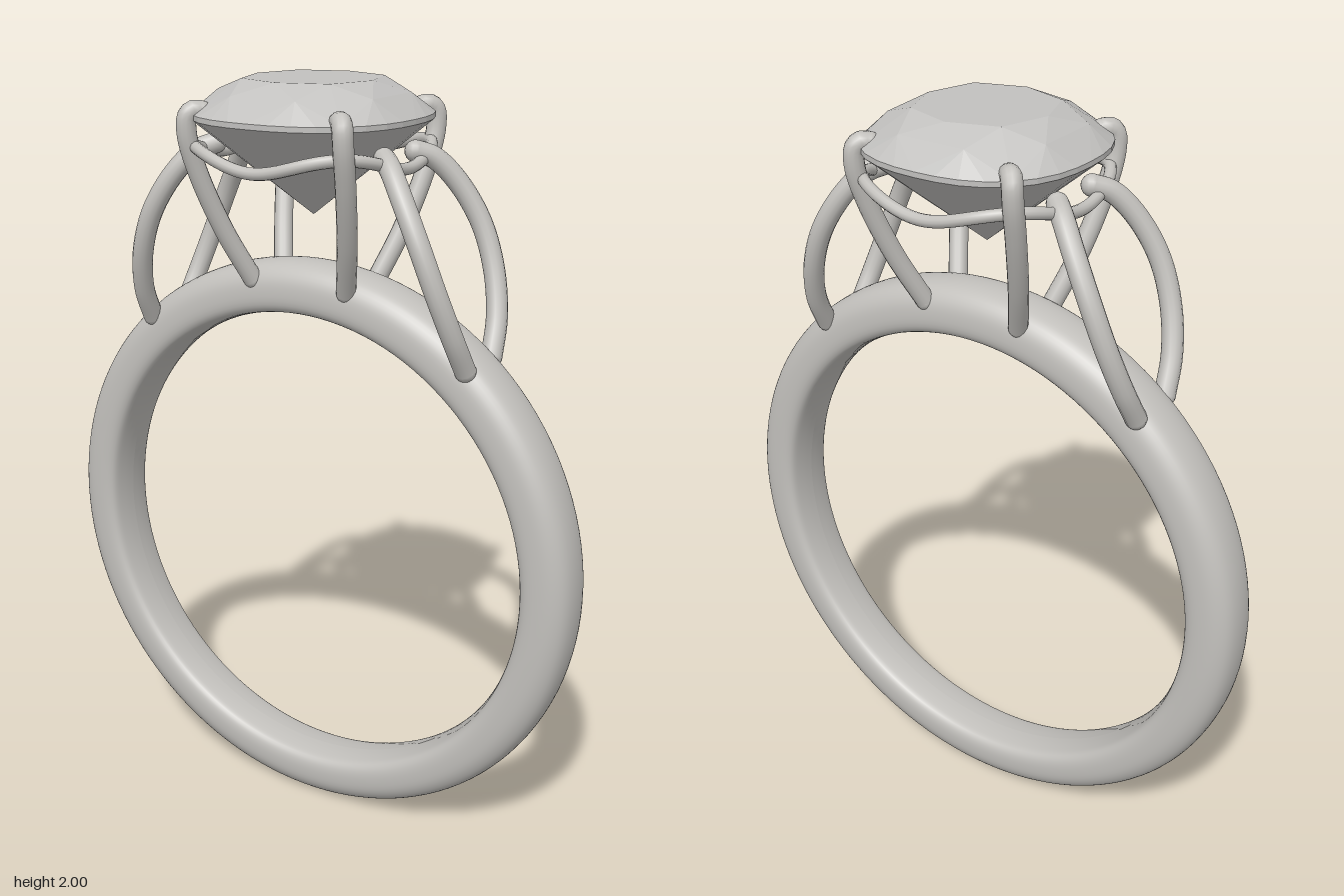
import * as THREE from 'three';
import { ConvexGeometry } from 'three/addons/geometries/ConvexGeometry.js';

const metal = new THREE.MeshStandardMaterial({ color: 0xc2c0bc });
metal.name = 'metal';
const stone = new THREE.MeshStandardMaterial({ color: 0xc2c1bf, flatShading: true });
stone.name = 'stone';

function mesh(name, geometry, material) {
  const m = new THREE.Mesh(geometry, material);
  m.name = name;
  return m;
}

// Round wire through points, with ball ends
function wire(name, points, radius) {
  const g = new THREE.Group();
  g.name = name;
  const pts = points.map((p) => new THREE.Vector3(...p));
  const curve = new THREE.CatmullRomCurve3(pts, false, 'centripetal');
  g.add(mesh(name + 'Wire', new THREE.TubeGeometry(curve, 48, radius, 14), metal));
  for (const p of [pts[0], pts[pts.length - 1]]) {
    const ball = mesh(name + 'End', new THREE.SphereGeometry(radius, 14, 10), metal);
    ball.position.copy(p);
    g.add(ball);
  }
  return g;
}

// Band: closed rounded section, turned, slightly narrower at the bottom
function makeBand() {
  const half = [[0.77, 0.04], [0.757, 0.064], [0.732, 0.081], [0.7, 0.087],
    [0.668, 0.085], [0.65, 0.074], [0.642, 0.05]];
  const section = [[0.637, 0], ...half.map(([r, z]) => [r, -z]).reverse(), [0.775, 0], ...half]
    .map(([r, z]) => new THREE.Vector3(r, z, 0));
  const profile = new THREE.CatmullRomCurve3(section, true).getPoints(48)
    .map((p) => new THREE.Vector2(p.x, p.y));
  const geo = new THREE.LatheGeometry(profile, 128);
  geo.rotateX(Math.PI / 2);
  geo.translate(0, 0.775, 0);
  const pos = geo.attributes.position;
  for (let i = 0; i < pos.count; i++) {
    const t = THREE.MathUtils.clamp(pos.getY(i) / 1.3, 0, 1);
    pos.setZ(i, pos.getZ(i) * (0.87 + 0.13 * t));
  }
  return mesh('band', geo, metal);
}

// Cushion brilliant: hull of table, crown, girdle and culet points
function makeStone() {
  const pts = [new THREE.Vector3(0, 1.665, 0)];
  const ring = (count, radius, y, offset = 0) => {
    for (let i = 0; i < count; i++) {
      const a = ((i + offset) / count) * Math.PI * 2;
      const c = Math.cos(a), s = Math.sin(a), n = 2.4;
      const r = radius / (Math.abs(c) ** n + Math.abs(s) ** n) ** (1 / n);
      pts.push(new THREE.Vector3(r * c, y, r * s));
    }
  };
  ring(8, 0.168, 2.0);
  ring(8, 0.232, 1.968, 0.5);
  ring(32, 0.285, 1.918);
  ring(32, 0.285, 1.905);
  ring(8, 0.075, 1.731, 0.5);
  return mesh('stone', new ConvexGeometry(pts), stone);
}

// Gallery rail: wavy loop under the stone, low between the prongs
function makeRail() {
  const pts = [];
  for (let i = 0; i < 48; i++) {
    const a = (i / 48) * Math.PI * 2;
    const w = Math.cos(4 * a);
    const r = 0.282 - 0.014 * w;
    pts.push(new THREE.Vector3(r * Math.cos(a), 1.822 - 0.02 * w, r * Math.sin(a)));
  }
  const curve = new THREE.CatmullRomCurve3(pts, true);
  return mesh('galleryRail', new THREE.TubeGeometry(curve, 128, 0.015, 12, true), metal);
}

export function createModel() {
  const model = new THREE.Group();
  model.name = 'ring';
  model.add(makeBand(), makeStone(), makeRail());

  // Four prongs and four shoulder wires, one per quadrant
  const prong = [[0.14, 1.495, 0.07], [0.182, 1.63, 0.135], [0.213, 1.78, 0.195],
    [0.222, 1.87, 0.221], [0.219, 1.915, 0.221], [0.208, 1.928, 0.209], [0.194, 1.925, 0.195]];
  const shoulder = [[0.475, 1.35, 0.07], [0.462, 1.44, 0.118], [0.432, 1.55, 0.152],
    [0.388, 1.66, 0.16], [0.33, 1.757, 0.14], [0.28, 1.815, 0.107], [0.245, 1.832, 0.075]];
  for (const sx of [1, -1]) {
    for (const sz of [1, -1]) {
      const side = (sz > 0 ? 'front' : 'back') + (sx > 0 ? 'Left' : 'Right');
      const flip = (pts) => pts.map(([x, y, z]) => [x * sx, y, z * sz]);
      model.add(wire(side + 'Prong', flip(prong), 0.025));
      model.add(wire(side + 'Shoulder', flip(shoulder), 0.027));
    }
  }
  return model;
}
